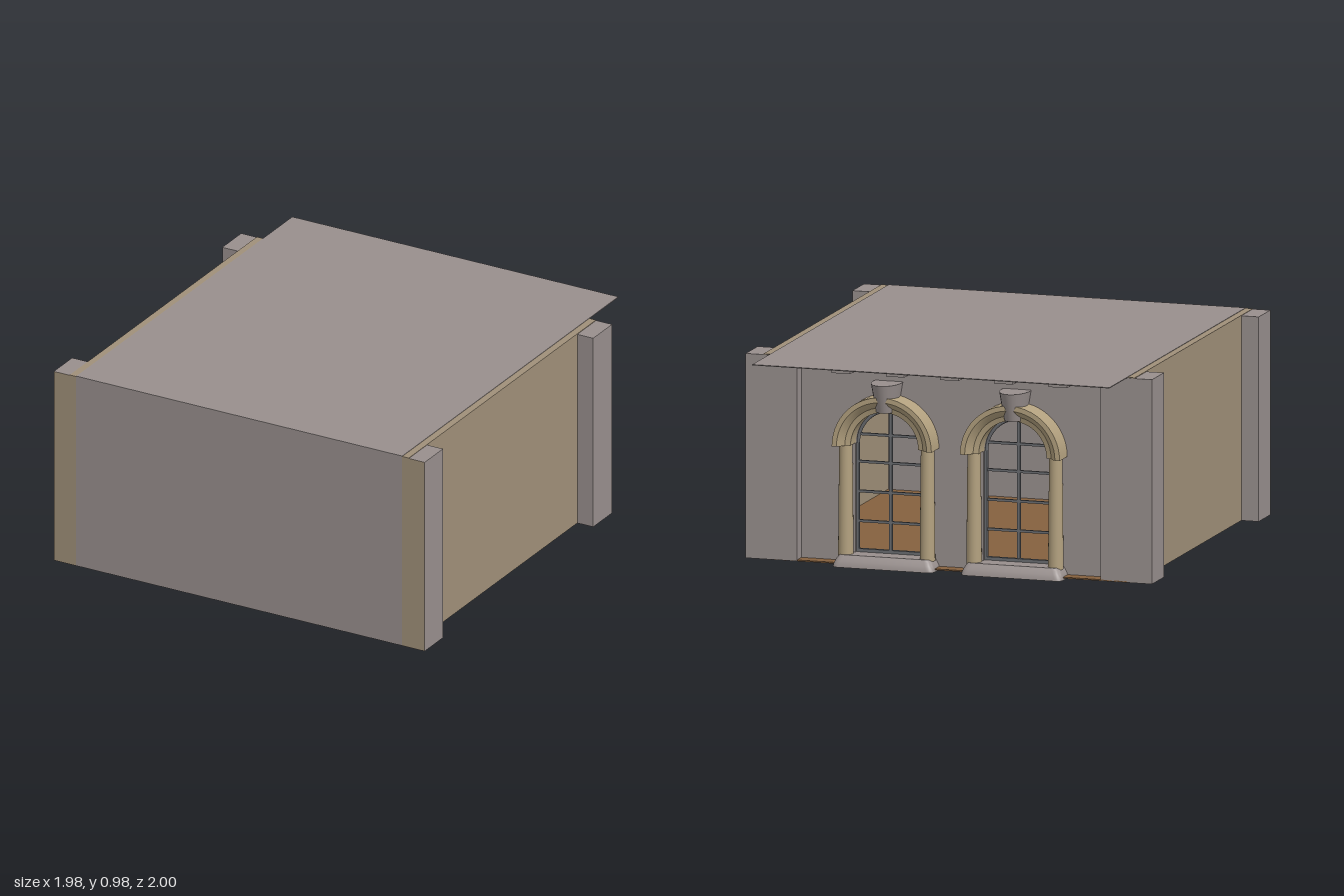
import * as THREE from 'three';
import { toCreasedNormals } from 'three/addons/utils/BufferGeometryUtils.js';

const paint = (name, color, side = THREE.FrontSide) => {
  const m = new THREE.MeshStandardMaterial({ color, side });
  m.name = name;
  return m;
};

export function createModel() {
  const stone = paint('greyStone', 0x988f8d, THREE.DoubleSide);
  const plaster = paint('tanPlaster', 0xa09079);
  const trim = paint('creamTrim', 0xb3a17f, THREE.DoubleSide);
  const wood = paint('brownWood', 0x85613f, THREE.DoubleSide);
  const metal = paint('darkMetal', 0x6a6c70);

  const model = new THREE.Group();
  model.name = 'room';
  const add = (parent, name, geometry, material) => {
    const mesh = new THREE.Mesh(geometry, material);
    mesh.name = name;
    parent.add(mesh);
    return mesh;
  };
  // box given by its limits on each axis
  const box = (parent, name, material, [x0, x1], [y0, y1], [z0, z1]) => {
    const g = new THREE.BoxGeometry(x1 - x0, y1 - y0, z1 - z0);
    g.translate((x0 + x1) / 2, (y0 + y1) / 2, (z0 + z1) / 2);
    return add(parent, name, g, material);
  };

  // shell
  box(model, 'floor', wood, [-0.87, 0.87], [0.008, 0.014], [-0.735, 0.99]);
  box(model, 'roof', stone, [-0.87, 0.87], [0.973, 0.977], [-1, 1]);
  box(model, 'frontWall', stone, [-0.87, 0.87], [0.008, 0.973], [0.995, 1]);
  for (const s of [-1, 1]) {
    const span = (a, b) => (s > 0 ? [a, b] : [-b, -a]);
    box(model, 'sideWall', plaster, span(0.87, 0.905), [0.008, 0.975], [-0.733, 1]);
    // only the front face of the front pier is plastered
    box(model, 'frontPier', [stone, stone, stone, stone, plaster, stone],
      span(0.904, 0.99), [0.008, 0.973], [0.83, 1]);
    box(model, 'backPier', stone, span(0.74, 0.99), [0.008, 0.972], [-0.735, -0.56]);
  }

  // ceiling beams whose ends show through the back wall
  for (let i = -3; i <= 3; i++) {
    const x = i * 0.264;
    box(model, 'ceilingBeam', stone, [x - 0.045, x + 0.045], [0.905, 0.973], [-0.73, 0.99]);
  }

  // back wall with two arched openings
  const HALF = 0.165, SPRING = 0.57, SILL = 0.05, CENTRE = 0.3125;
  const wall = new THREE.Shape([[-0.87, 0.01], [0.87, 0.01], [0.87, 0.973], [-0.87, 0.973]]
    .map(([x, y]) => new THREE.Vector2(x, y)));
  for (const c of [-CENTRE, CENTRE]) {
    const hole = new THREE.Path();
    hole.moveTo(c - HALF, SILL);
    hole.lineTo(c + HALF, SILL);
    hole.lineTo(c + HALF, SPRING);
    hole.absarc(c, SPRING, HALF, 0, Math.PI, false);
    hole.lineTo(c - HALF, SILL);
    wall.holes.push(hole);
  }
  const wallGeo = new THREE.ExtrudeGeometry(wall, { depth: 0.06, bevelEnabled: false, curveSegments: 20 });
  wallGeo.translate(0, 0, -0.67);
  add(model, 'backWall', wallGeo, stone);

  // moulded arch: profile of radius and distance towards the back
  const profile = [[0.165, 0.66], [0.165, 0.74], [0.19, 0.748], [0.205, 0.77],
    [0.22, 0.782], [0.243, 0.782], [0.243, 0.66]].map(([r, d]) => new THREE.Vector2(r, d));
  const archGeo = toCreasedNormals(
    new THREE.LatheGeometry(profile, 28, -Math.PI / 2, Math.PI).rotateX(-Math.PI / 2), 0.6);
  archGeo.translate(0, SPRING, 0);
  const archEnd = new THREE.ShapeGeometry(new THREE.Shape(profile)).rotateX(-Math.PI / 2);

  // sill: rounded plan whose upper edge draws inward
  const plan = new THREE.Shape();
  const w = 0.2475, back = 0.61, front = 0.776, r = 0.035;
  plan.moveTo(-w, back);
  plan.lineTo(w, back);
  plan.lineTo(w, front - r);
  plan.quadraticCurveTo(w, front, w - r, front);
  plan.lineTo(-w + r, front);
  plan.quadraticCurveTo(-w, front, -w, front - r);
  plan.lineTo(-w, back);
  let sillGeo = new THREE.ExtrudeGeometry(plan, { depth: 0.055, steps: 4, bevelEnabled: false, curveSegments: 6 });
  sillGeo.rotateX(-Math.PI / 2);
  const p = sillGeo.attributes.position;
  for (let i = 0; i < p.count; i++) {
    const t = (p.getY(i) / 0.055) ** 1.6;
    p.setX(i, p.getX(i) * (1 - 0.1 * t));
    if (p.getZ(i) < -0.7) p.setZ(i, p.getZ(i) + 0.03 * t);
  }
  sillGeo = toCreasedNormals(sillGeo, 0.7);

  function makeWindow(cx) {
    const win = new THREE.Group();
    win.name = 'archedWindow';
    win.position.x = cx;
    add(win, 'arch', archGeo, trim);
    add(win, 'sill', sillGeo, stone);
    for (const s of [-1, 1]) {
      const end = add(win, 'archEnd', archEnd, trim);
      end.position.y = SPRING;
      end.scale.x = s;
      const column = add(win, 'column', new THREE.CylinderGeometry(0.031, 0.036, 0.53, 20), trim);
      column.position.set(s * 0.199, 0.31, -0.706);
      box(win, 'frameSide', metal, s > 0 ? [0.153, 0.166] : [-0.166, -0.153], [SILL, SPRING], [-0.655, -0.635]);
    }
    const key = add(win, 'keystone', new THREE.CylinderGeometry(0.07, 0.048, 0.135, 24), stone);
    key.scale.z = 1.55;
    key.position.set(0, 0.805, -0.7);
    // glazing bars
    const ring = add(win, 'frameArch', new THREE.TorusGeometry(0.158, 0.008, 8, 28, Math.PI), metal);
    ring.position.set(0, SPRING, -0.645);
    box(win, 'frameBottom', metal, [-0.16, 0.16], [SILL, SILL + 0.02], [-0.655, -0.635]);
    box(win, 'uprightBar', metal, [-0.007, 0.007], [SILL, 0.73], [-0.652, -0.638]);
    for (const y of [0.2, 0.34, 0.48, 0.61]) {
      const reach = y > SPRING ? Math.sqrt(0.158 ** 2 - (y - SPRING) ** 2) : 0.158;
      box(win, 'crossBar', metal, [-reach, reach], [y - 0.006, y + 0.006], [-0.651, -0.639]);
    }
    return win;
  }
  model.add(makeWindow(-CENTRE), makeWindow(CENTRE));
  return model;
}
